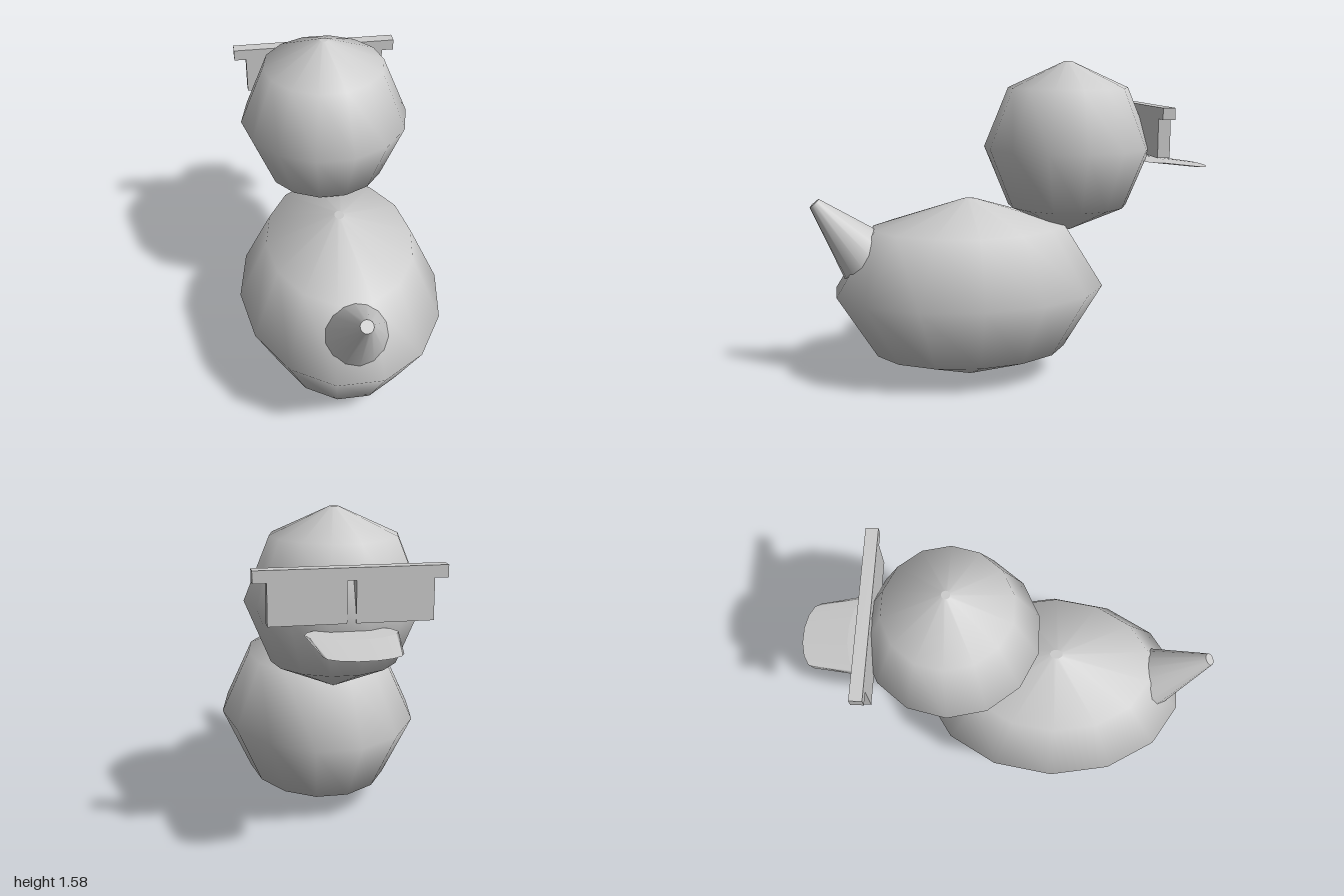
import * as THREE from 'three';

const SIDES = 14;

export function createModel() {
  const group = new THREE.Group();
  const grey = new THREE.MeshStandardMaterial({ color: 0xcccccc });
  grey.name = 'plain grey';

  const add = (name, geometry, parent = group) => {
    const mesh = new THREE.Mesh(geometry, grey);
    mesh.name = name;
    parent.add(mesh);
    return mesh;
  };

  // Coarse egg: smooth lathed side with a tiny flat cap at each end
  const addEgg = (name, profile, z, stretch) => {
    const egg = new THREE.Group();
    egg.name = name;
    const points = profile.map(([r, y]) => new THREE.Vector2(r, y));
    add(name + 'Shell', new THREE.LatheGeometry(points, SIDES, Math.PI / 2), egg);
    for (const end of [0, points.length - 1]) {
      const { x: r, y } = points[end];
      const cap = add(name + (end ? 'TopCap' : 'BottomCap'), new THREE.CircleGeometry(r, SIDES), egg);
      cap.rotation.x = end ? -Math.PI / 2 : Math.PI / 2;
      cap.position.y = y;
    }
    egg.position.z = z;
    egg.scale.z = stretch;
    group.add(egg);
  };

  addEgg('body', [[0.023, 0], [0.356, 0.138], [0.5, 0.455], [0.356, 0.77], [0.023, 0.907]], 0.222, 1.364);
  addEgg('head', [[0.02, 0.735], [0.299, 0.862], [0.42, 1.157], [0.299, 1.452], [0.02, 1.58]], -0.28, 1);

  // Tail: blunt cone leaning back and up out of the body
  const tip = new THREE.Vector3(0, 0.905, 0.978);
  const axis = new THREE.Vector3(0, Math.sin(0.85), Math.cos(0.85));
  const length = 0.4;
  const tail = add('tail', new THREE.CylinderGeometry(0.03, 0.16, length, SIDES));
  tail.quaternion.setFromUnitVectors(new THREE.Vector3(0, 1, 0), axis);
  tail.position.copy(tip).addScaledVector(axis, -length / 2);

  // Bill: tapered cylinder sheared into a thin forward-sloping wedge
  const bill = new THREE.CylinderGeometry(0.205, 0.167, 1, SIDES, 1, false, Math.PI / 2);
  bill.applyMatrix4(new THREE.Matrix4().makeBasis(
    new THREE.Vector3(1, 0, 0),
    new THREE.Vector3(0, 0.031, 0.237),
    new THREE.Vector3(0, 0.022, 0.45)
  ).setPosition(0, 1.072, -0.808));
  add('bill', bill);

  // Glasses: straight brow bar with two square lenses, cut from one plate
  const half = [[0.02, 1.315], [0.02, 1.13], [0.36, 1.13], [0.36, 1.315], [0.42, 1.315], [0.42, 1.37]];
  const outline = [...half, ...half.map(([x, y]) => [-x, y]).reverse()];
  const plate = new THREE.Shape(outline.map(([x, y]) => new THREE.Vector2(x, y)));
  const glasses = add('glasses', new THREE.ExtrudeGeometry(plate, { depth: 0.06, bevelEnabled: false }));
  glasses.position.z = -0.69;

  return group;
}
